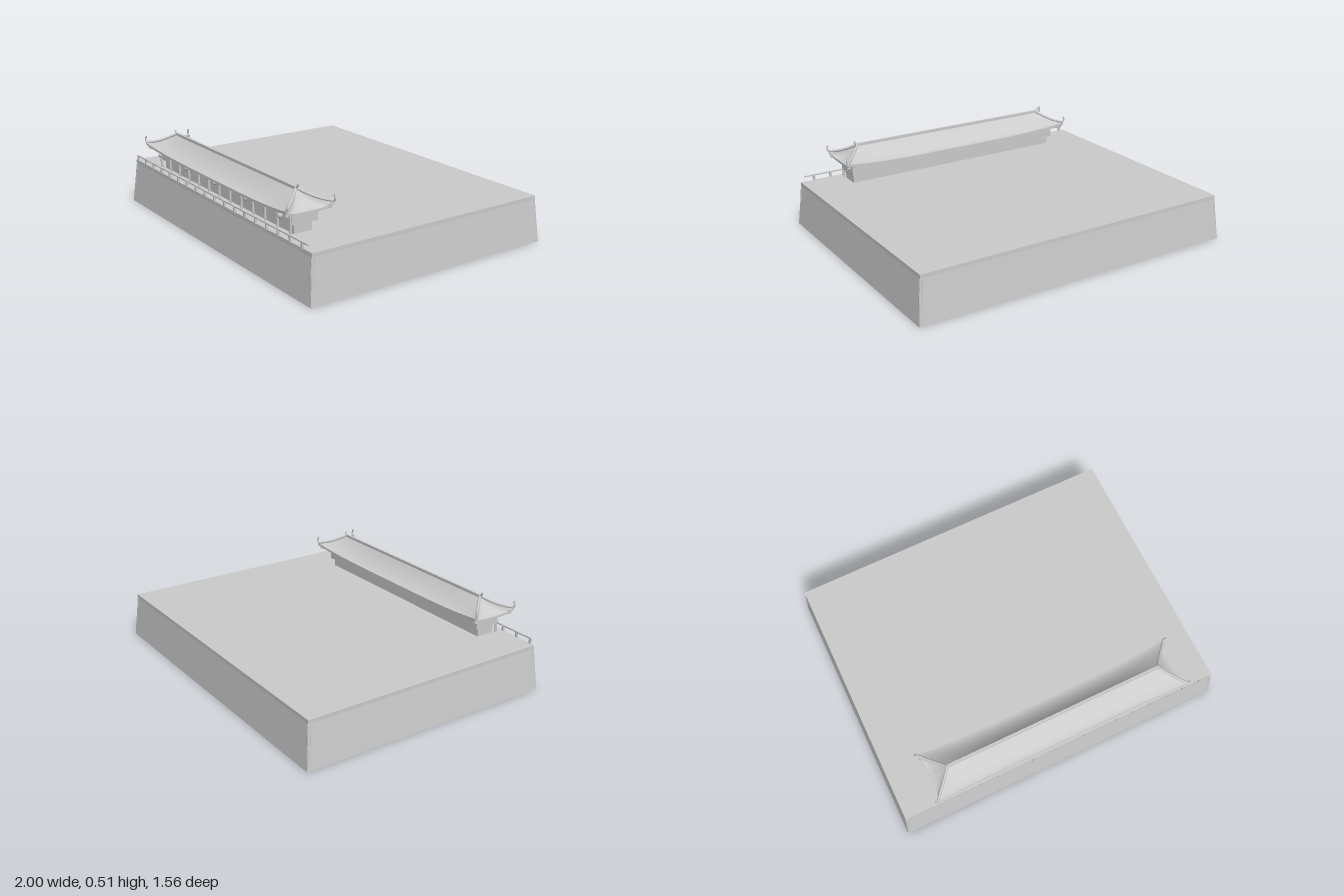
import * as THREE from 'three';

const V = (x, y, z) => new THREE.Vector3(x, y, z);
const mat = new THREE.MeshStandardMaterial({ color: 0xcccccc, side: THREE.DoubleSide });
const Z0 = 0.63; // centre line of the hall

function add(parent, name, geo, x = 0, y = 0, z = 0) {
  const m = new THREE.Mesh(geo, mat);
  m.name = name;
  m.position.set(x, y, z);
  parent.add(m);
  return m;
}
const box = (p, name, w, h, d, x, y, z) => add(p, name, new THREE.BoxGeometry(w, h, d), x, y, z);
function tube(p, name, pts, r, seg = 20) {
  return add(p, name, new THREE.TubeGeometry(new THREE.CatmullRomCurve3(pts), seg, r, 8));
}
function rod(p, name, a, b, r0, r1) {
  const d = b.clone().sub(a);
  const m = add(p, name, new THREE.CylinderGeometry(r1, r0, d.length(), 10));
  m.position.copy(a).add(b).multiplyScalar(0.5);
  m.quaternion.setFromUnitVectors(V(0, 1, 0), d.normalize());
}

// Sloped platform, open underneath, with a short vertical lip
function platformGeometry() {
  let g = new THREE.BoxGeometry(2, 1, 2, 1, 2, 1);
  const p = g.attributes.position;
  for (let i = 0; i < p.count; i++) {
    const y = p.getY(i), low = y < -0.25;
    p.setXYZ(i, p.getX(i) * (low ? 1 : 0.976), low ? 0 : y > 0.25 ? 0.272 : 0.25,
      p.getZ(i) * (low ? 0.782 : 0.758));
  }
  const { start, count } = g.groups[3];
  g.setIndex([...g.index.array].filter((_, i) => i < start || i >= start + count));
  g.clearGroups();
  g = g.toNonIndexed();
  g.computeVertexNormals();
  return g;
}

// Point on a roof slope: t runs along the eave (-1..1), v from ridge (0) to eave (1)
const RX = 0.65, RY = 0.487;
function roofPoint(end, t, v) {
  const flare = Math.abs(t) ** 4;
  const fall = 1 - (1 - v) ** 1.7;
  const eaveY = 0.395 + 0.032 * flare;
  const x = end ? 0.757 + 0.023 * flare : 0.78 * t;
  const z = end ? 0.145 * t : 0.128 + 0.017 * flare;
  const topX = end ? RX : RX * t;
  return V(topX + (x - topX) * v, RY + (eaveY - RY) * fall, z * v);
}

// One slope with its eave fascia and soffit as separate smooth sheets
function slope(parent, name, end, sign) {
  const N = 40, M = 12;
  const sheet = (part, rows, fn) => {
    const pos = [], idx = [];
    for (let j = 0; j <= rows; j++) for (let i = 0; i <= N; i++) {
      const q = fn(-1 + (2 * i) / N, j / rows);
      pos.push(q.x * sign, q.y, Z0 + q.z * sign);
    }
    for (let j = 0; j < rows; j++) for (let i = 0; i < N; i++) {
      const a = j * (N + 1) + i, b = a + N + 1;
      if (end) idx.push(a, a + 1, b, b, a + 1, b + 1);
      else idx.push(a, b, a + 1, b, b + 1, a + 1);
    }
    const g = new THREE.BufferGeometry();
    g.setAttribute('position', new THREE.Float32BufferAttribute(pos, 3));
    g.setIndex(idx);
    g.computeVertexNormals();
    add(parent, name + part, g);
  };
  sheet('Tiles', M, (t, v) => roofPoint(end, t, v));
  const lower = (t) => roofPoint(end, t, 1).add(V(0, -0.014, 0));
  sheet('Fascia', 1, (t, v) => roofPoint(end, t, 1).lerp(lower(t), v));
  sheet('Soffit', 3, (t, v) => lower(t).lerp(end ? V(0.7, 0.388, 0.07 * t) : V(0.7 * t, 0.388, 0.07), v));
}

export function createModel() {
  const root = new THREE.Group();
  root.name = 'gateHall';

  add(root, 'platform', platformGeometry());
  for (const sx of [-1, 1]) for (const sz of [-1, 1])
    rod(root, 'platformCorner', V(0.988 * sx, 0.002, 0.77 * sz), V(0.97 * sx, 0.245, 0.752 * sz), 0.012, 0.01);

  // Front railing
  const rail = new THREE.Group();
  rail.name = 'railing';
  root.add(rail);
  for (let i = 0; i < 18; i++) box(rail, 'railPost', 0.012, 0.036, 0.012, -0.945 + i * 0.108, 0.286, 0.756);
  box(rail, 'railBar', 1.896, 0.007, 0.01, 0, 0.303, 0.756);

  // Hall body
  const hall = new THREE.Group();
  hall.name = 'hall';
  root.add(hall);
  box(hall, 'lowerWall', 1.42, 0.06, 0.11, 0, 0.298, Z0);
  box(hall, 'upperWall', 1.45, 0.07, 0.155, 0, 0.36, 0.627);
  const column = new THREE.CylinderGeometry(0.007, 0.007, 0.12, 12);
  for (let i = 0; i <= 12; i++) add(hall, 'column', column, -0.716 + i * 0.1193, 0.33, 0.708);

  // Lanterns under the front eave
  const lantern = new THREE.LatheGeometry(
    [[0, -0.016], [0.006, -0.014], [0.013, -0.006], [0.014, 0.002], [0.011, 0.01], [0.005, 0.015], [0, 0.016]]
      .map(([x, y]) => new THREE.Vector2(x, y)), 16);
  for (let i = -2; i <= 2; i++) {
    add(hall, 'lantern', lantern, i / 3, 0.369, 0.737);
    rod(hall, 'lanternCord', V(i / 3, 0.38, 0.737), V(i / 3, 0.396, 0.737), 0.002, 0.002);
  }

  // Hipped roof
  const roof = new THREE.Group();
  roof.name = 'roof';
  root.add(roof);
  for (const s of [-1, 1]) {
    slope(roof, 'long', false, s);
    slope(roof, 'end', true, s);
  }
  box(roof, 'ridge', 1.31, 0.016, 0.014, 0, 0.489, Z0);
  for (const sx of [-1, 1]) {
    tube(roof, 'ridgeTip', [V(0.63 * sx, 0.49, Z0), V(0.652 * sx, 0.493, Z0), V(0.665 * sx, 0.5, Z0), V(0.668 * sx, 0.51, Z0)], 0.006, 10);
    for (const sz of [-1, 1]) {
      // Hip ridge ending in an upswept horn
      const pts = [];
      for (let k = 0; k <= 6; k++) {
        const q = roofPoint(true, sz, k / 6);
        pts.push(V(q.x * sx, q.y + 0.004, Z0 + q.z));
      }
      tube(roof, 'hipRidge', pts, 0.008);
      const e = pts[6];
      tube(roof, 'hipHorn', [e, V(e.x + 0.006 * sx, e.y + 0.008, e.z - 0.002 * sz), V(e.x + 0.006 * sx, e.y + 0.022, e.z - 0.001 * sz),
        V(e.x + 0.002 * sx, e.y + 0.036, e.z - 0.004 * sz)], 0.005, 12);
      // Corner bracket below the eave
      const b = box(roof, 'cornerBracket', 0.016, 0.022, 0.08, 0.743 * sx, 0.397, Z0 + 0.105 * sz);
      b.lookAt(0.79 * sx, 0.41, Z0 + 0.152 * sz);
    }
  }
  return root;
}
